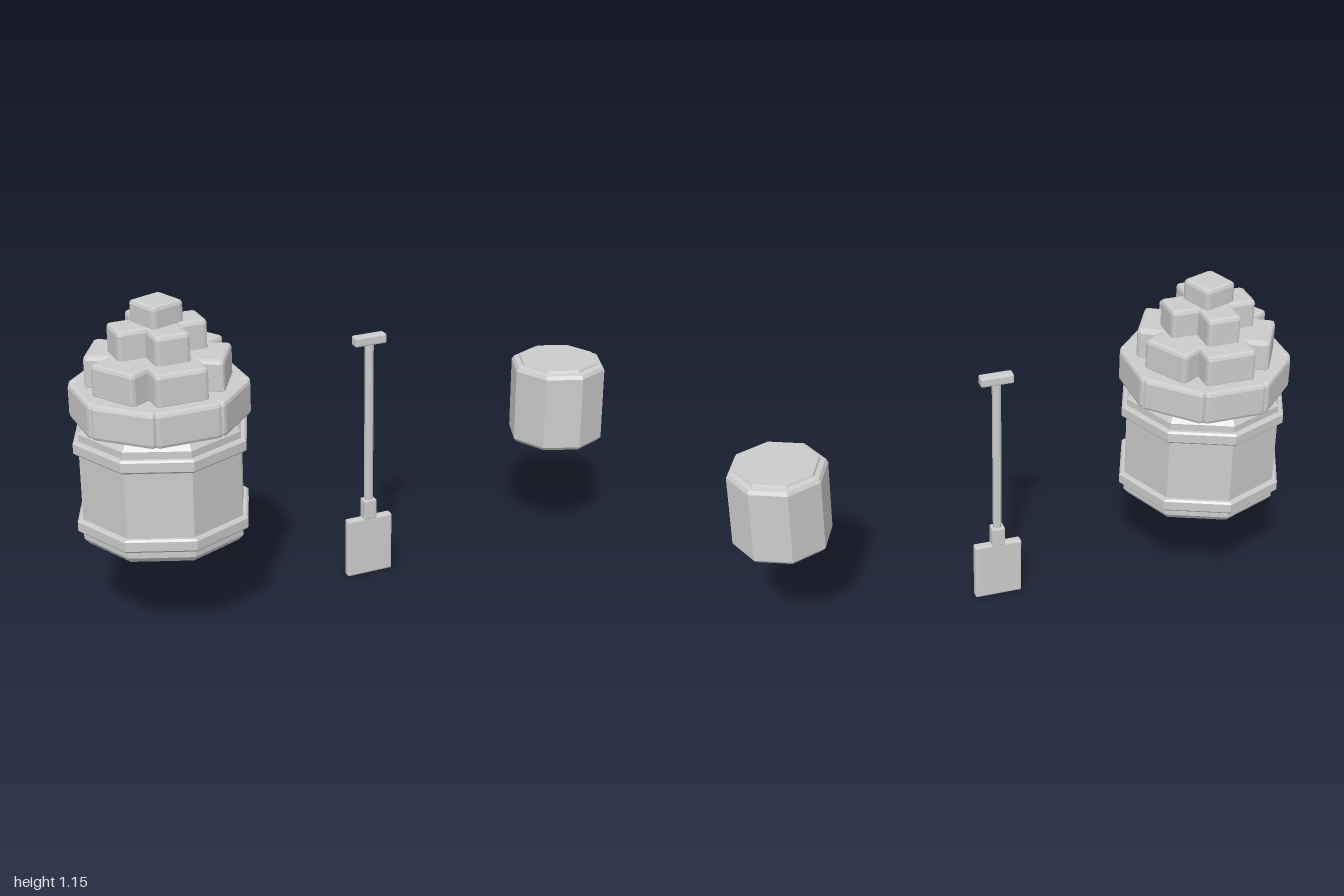
import * as THREE from 'three';
import { RoundedBoxGeometry } from 'three/addons/geometries/RoundedBoxGeometry.js';

const material = new THREE.MeshStandardMaterial({ color: 0xcccccc, flatShading: true });

function add(parent, name, geometry, x = 0, y = 0, z = 0, turn = 0) {
  const mesh = new THREE.Mesh(geometry, material);
  mesh.name = name;
  mesh.position.set(x, y, z);
  mesh.rotation.y = turn;
  parent.add(mesh);
  return mesh;
}

// Eight-sided turned solid from [radius, height] pairs, bottom to top
function turned(profile) {
  return new THREE.LatheGeometry(profile.map(([r, y]) => new THREE.Vector2(r, y)), 8);
}

// Box with chamfered edges standing between two heights
function block(parent, name, w, y0, y1, d, bevel, turn = 0) {
  const geometry = new RoundedBoxGeometry(w, y1 - y0, d, 1, bevel);
  return add(parent, name, geometry, 0, (y0 + y1) / 2, 0, turn);
}

function createBarrel() {
  const barrel = new THREE.Group();
  barrel.name = 'filledBarrel';
  barrel.position.x = -0.7;

  add(barrel, 'barrelBody', turned([
    [0, 0.335], [0.268, 0.335], [0.285, 0.355], [0.285, 0.73], [0.268, 0.75], [0, 0.75],
  ]));

  // Two hoops with chamfered edges
  for (const y of [0.404, 0.683]) {
    add(barrel, 'hoop', turned([
      [0.27, -0.023], [0.297, -0.023], [0.304, -0.016],
      [0.304, 0.016], [0.297, 0.023], [0.27, 0.023],
    ]), 0, y);
  }

  // Heap: each tier is a star of crossed blocks
  const tiers = [
    { count: 4, length: 0.56, width: 0.225, y0: 0.75, y1: 0.872, start: 0 },
    { count: 3, length: 0.46, width: 0.18, y0: 0.86, y1: 0.979, start: Math.PI / 2 },
    { count: 2, length: 0.308, width: 0.12, y0: 0.965, y1: 1.077, start: 0 },
    { count: 1, length: 0.128, width: 0.128, y0: 1.06, y1: 1.15, start: 0.35 },
  ];
  for (const t of tiers) {
    for (let i = 0; i < t.count; i++) {
      block(barrel, 'heapBlock', t.length, t.y0, t.y1, t.width, 0.014, t.start + (i * Math.PI) / t.count);
    }
  }
  return barrel;
}

function createShovel() {
  const shovel = new THREE.Group();
  shovel.name = 'shovel';
  shovel.position.x = 0.062;
  block(shovel, 'blade', 0.174, 0, 0.22, 0.032, 0.007);
  block(shovel, 'socket', 0.048, 0.215, 0.29, 0.04, 0.005);
  add(shovel, 'shaft', new THREE.CylinderGeometry(0.016, 0.016, 0.6, 8).rotateY(Math.PI / 8), 0, 0.585, 0);
  block(shovel, 'handle', 0.118, 0.875, 0.91, 0.038, 0.006);
  return shovel;
}

function createTub() {
  const tub = new THREE.Group();
  tub.name = 'tub';
  tub.position.x = 0.827;
  // Body with chamfered rim and shallow raised lid
  add(tub, 'tubBody', turned([
    [0, 0.4], [0.163, 0.4], [0.173, 0.412], [0.173, 0.675], [0.165, 0.688], [0.148, 0.692], [0, 0.692],
  ]));
  add(tub, 'lid', turned([[0.148, 0.69], [0.143, 0.7], [0, 0.7]]));
  return tub;
}

export function createModel() {
  const model = new THREE.Group();
  model.name = 'barrelShovelAndTub';
  model.add(createBarrel(), createShovel(), createTub());
  return model;
}
